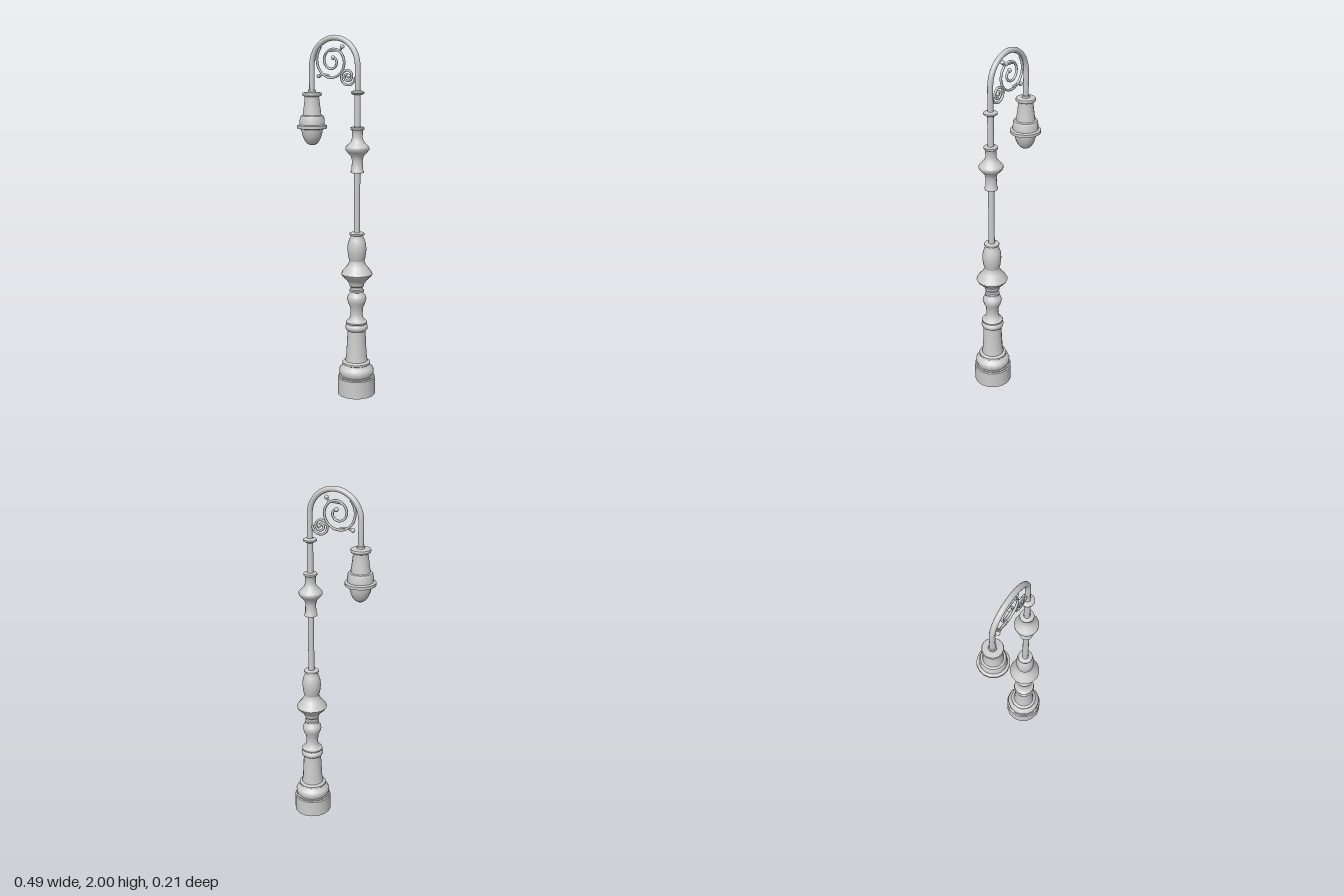
import * as THREE from 'three';
import { toCreasedNormals } from 'three/addons/utils/BufferGeometryUtils.js';

const POST_X = 0.139, LAMP_X = -0.161, SIDES = 16;
const material = new THREE.MeshStandardMaterial({ color: 0xcccccc });

function add(parent, name, geometry, x = 0, y = 0, z = 0) {
  const mesh = new THREE.Mesh(geometry, material);
  mesh.name = name;
  mesh.position.set(x, y, z);
  parent.add(mesh);
  return mesh;
}

// Turned part: [radius, height] pairs from bottom to top
function turned(parent, name, x, profile) {
  const points = profile.map(([r, y]) => new THREE.Vector2(r, y));
  return add(parent, name, toCreasedNormals(new THREE.LatheGeometry(points, SIDES), 0.75), x);
}

function tube(parent, name, points, radius, steps, sides = 8) {
  const curve = new THREE.CatmullRomCurve3(points);
  return add(parent, name, new THREE.TubeGeometry(curve, steps, radius, sides));
}

// Points of a flat spiral; angles in degrees
function spiral(cx, cy, r0, r1, a0, a1, n = 40) {
  return Array.from({ length: n + 1 }, (_, i) => {
    const t = i / n;
    const a = THREE.MathUtils.degToRad(a0 + (a1 - a0) * t);
    const r = r0 + (r1 - r0) * t;
    return new THREE.Vector3(cx + r * Math.cos(a), cy + r * Math.sin(a), 0);
  });
}

export function createModel() {
  const model = new THREE.Group();
  model.name = 'streetLamp';

  // Post, from the ground up
  turned(model, 'base', POST_X, [
    [0, 0], [0.107, 0], [0.107, 0.098], [0.1, 0.102], [0.1, 0.108], [0.092, 0.11],
    [0.098, 0.122], [0.099, 0.14], [0.093, 0.153], [0.078, 0.163], [0.072, 0.172],
    [0.079, 0.176], [0.079, 0.186], [0.066, 0.194], [0, 0.194],
  ]);
  turned(model, 'pedestal', POST_X, [
    [0.064, 0.19], [0.058, 0.23], [0.051, 0.37], [0.061, 0.378], [0.064, 0.39],
    [0.061, 0.402], [0.053, 0.408], [0.06, 0.413], [0.06, 0.421], [0.049, 0.43], [0, 0.432],
  ]);
  turned(model, 'lowerBaluster', POST_X, [
    [0.049, 0.43], [0.037, 0.446], [0.034, 0.47], [0.037, 0.505], [0.048, 0.53],
    [0.055, 0.555], [0.05, 0.572], [0.036, 0.587], [0.034, 0.592], [0.042, 0.595],
    [0.042, 0.604], [0.034, 0.608], [0.034, 0.622], [0.042, 0.63], [0.042, 0.64],
    [0.055, 0.66], [0.08, 0.683], [0.088, 0.697], [0.08, 0.712], [0.055, 0.742],
    [0.042, 0.765], [0.042, 0.775], [0, 0.775],
  ]);
  turned(model, 'vase', POST_X, [
    [0.041, 0.77], [0.048, 0.79], [0.053, 0.83], [0.052, 0.86], [0.044, 0.89],
    [0.035, 0.908], [0.035, 0.914], [0.042, 0.917], [0.042, 0.926], [0.034, 0.93], [0, 0.93],
  ]);
  const pole = new THREE.CylinderGeometry(0.017, 0.017, 0.8, SIDES, 1, true);
  add(model, 'pole', pole, POST_X, 1.3);
  turned(model, 'sleeve', POST_X, [
    [0, 1.262], [0.036, 1.262], [0.036, 1.272], [0.031, 1.279], [0.03, 1.33],
    [0.035, 1.352], [0.055, 1.374], [0.066, 1.388], [0.066, 1.4], [0.055, 1.412],
    [0.035, 1.434], [0.029, 1.455], [0.03, 1.49], [0.038, 1.498], [0.038, 1.508],
    [0.028, 1.512], [0, 1.512],
  ]);
  turned(model, 'collar', POST_X, [
    [0, 1.68], [0.024, 1.682], [0.037, 1.69], [0.037, 1.698], [0.024, 1.704], [0, 1.706],
  ]);

  // Arched arm: two straight legs joined by a half circle
  const armCentre = (POST_X + LAMP_X) / 2, armRadius = (POST_X - LAMP_X) / 2, springY = 1.835;
  const armPath = [
    new THREE.Vector3(POST_X, 1.68, 0), new THREE.Vector3(POST_X, 1.76, 0),
    ...spiral(armCentre, springY, armRadius, armRadius, 0, 180, 12),
    new THREE.Vector3(LAMP_X, 1.76, 0), new THREE.Vector3(LAMP_X, 1.68, 0),
  ];
  tube(model, 'arm', armPath, 0.015, 48, 12);

  // Scrollwork under the arch
  const scrolls = new THREE.Group();
  scrolls.name = 'scrollwork';
  model.add(scrolls);
  const large = spiral(-0.025, 1.86, 0.107, 0.019, 135, 790);
  const small = spiral(0.074, 1.778, 0.05, 0.008, 0, -700);
  tube(scrolls, 'largeScroll', large, 0.007, 110, 6);
  tube(scrolls, 'smallScroll', small, 0.007, 80, 6);
  const sprigs = [
    [[-0.04, 1.782], [-0.075, 1.787], [-0.114, 1.779]],
    [[-0.06, 1.912], [-0.01, 1.916], [0.025, 1.918], [0.04, 1.937]],
  ];
  for (const sprig of sprigs) {
    tube(scrolls, 'sprig', sprig.map(([x, y]) => new THREE.Vector3(x, y, 0)), 0.006, 14, 6);
  }
  const tips = [[-0.114, 1.779], [0.04, 1.937], [large.at(-1).x, large.at(-1).y],
    [small.at(-1).x, small.at(-1).y]];
  for (const [x, y] of tips) add(scrolls, 'scrollTip', new THREE.SphereGeometry(0.012, 10, 8), x, y);

  // Hanging lantern
  turned(model, 'lanternHousing', LAMP_X, [
    [0, 1.486], [0.07, 1.486], [0.085, 1.49], [0.085, 1.506], [0.071, 1.511],
    [0.069, 1.55], [0.064, 1.56], [0.053, 1.563], [0.048, 1.6], [0.041, 1.655],
    [0.041, 1.666], [0.053, 1.672], [0.056, 1.68], [0.053, 1.688], [0.022, 1.692],
    [0.021, 1.703], [0, 1.705],
  ]);
  turned(model, 'bulb', LAMP_X, [
    [0, 1.395], [0.015, 1.397], [0.03, 1.406], [0.043, 1.423], [0.053, 1.446],
    [0.059, 1.47], [0.061, 1.49],
  ]);

  return model;
}
